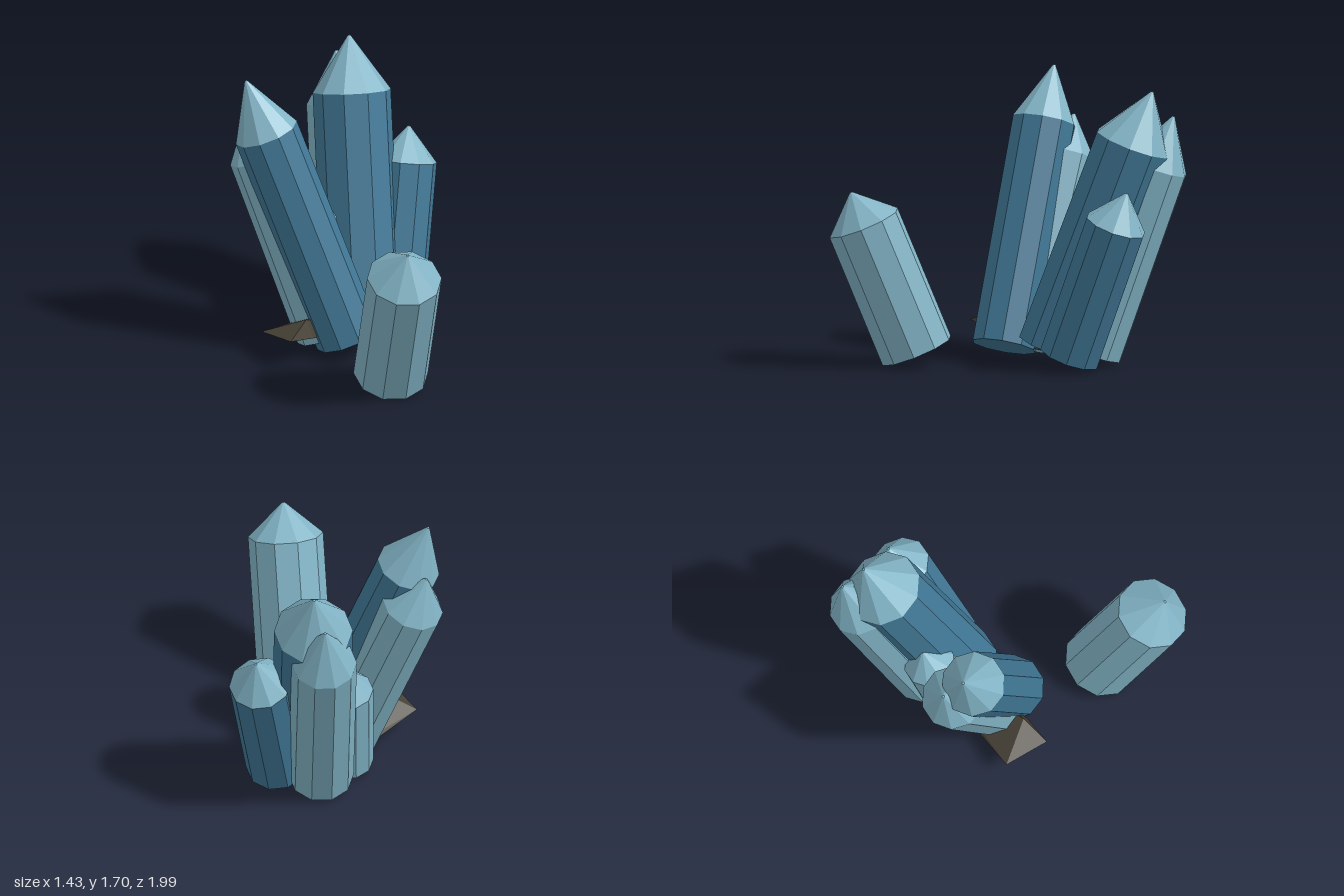
import * as THREE from 'three';
import { ConvexGeometry } from 'three/addons/geometries/ConvexGeometry.js';

const SIDES = 10;

const paleBlue = new THREE.MeshStandardMaterial({ color: 0x82b4c6, flatShading: true });
paleBlue.name = 'pale blue crystal';
const deepBlue = new THREE.MeshStandardMaterial({ color: 0x417896, flatShading: true });
deepBlue.name = 'deep blue crystal';
const rockBrown = new THREE.MeshStandardMaterial({ color: 0x464136, flatShading: true });
rockBrown.name = 'dark brown rock';

// One crystal: a ten-sided prism from base to shoulder, with a pointed cap
function crystal({ name, base, shoulder, radius, tip, material }) {
  const from = new THREE.Vector3(...base);
  const axis = new THREE.Vector3(...shoulder).sub(from);
  const length = axis.length();
  const group = new THREE.Group();
  group.name = name;

  const shaft = new THREE.Mesh(
    new THREE.CylinderGeometry(radius, radius, length, SIDES).translate(0, length / 2, 0),
    material
  );
  shaft.name = 'shaft';

  const point = new THREE.Mesh(
    new THREE.CylinderGeometry(0.008, radius, tip, SIDES).translate(0, length + tip / 2, 0),
    paleBlue
  );
  point.name = 'point';

  group.add(shaft, point);
  group.position.copy(from);
  group.quaternion.setFromUnitVectors(new THREE.Vector3(0, 1, 0), axis.normalize());
  return group;
}

export function createModel() {
  const model = new THREE.Group();
  model.name = 'crystalCluster';

  const crystals = [
    { name: 'frontCrystal', base: [0.365, 0.085, 0.5], shoulder: [0.505, 0.86, 0.785],
      radius: 0.225, tip: 0.2, material: paleBlue },
    { name: 'tallLeaningCrystal', base: [0.02, 0.085, 0.08], shoulder: [-0.485, 1.375, 0.03],
      radius: 0.195, tip: 0.35, material: deepBlue },
    { name: 'sideCrystal', base: [-0.115, 0.08, 0.02], shoulder: [-0.545, 1.175, -0.08],
      radius: 0.19, tip: 0.25, material: paleBlue },
    { name: 'largeBackCrystal', base: [0.04, 0.095, -0.26], shoulder: [-0.11, 1.34, -0.7],
      radius: 0.235, tip: 0.335, material: deepBlue },
    { name: 'smallBackCrystal', base: [0.2, 0.08, -0.42], shoulder: [0.215, 0.895, -0.725],
      radius: 0.187, tip: 0.21, material: deepBlue },
    { name: 'rearCrystal', base: [-0.08, 0.075, -0.44], shoulder: [-0.21, 1.2, -0.81],
      radius: 0.195, tip: 0.315, material: paleBlue },
    { name: 'innerCrystal', base: [-0.18, 0.05, -0.22], shoulder: [-0.22, 0.68, -0.36],
      radius: 0.155, tip: 0.17, material: paleBlue }
  ];
  for (const spec of crystals) model.add(crystal(spec));

  // Jagged rock wedged between the crystal feet
  const rockPoints = [
    [-0.475, 0.155, 0.24], [-0.26, 0.19, 0.415], [-0.2, 0.26, 0.24], [-0.155, 0.145, 0.25],
    [-0.32, 0.11, 0.2], [0, 0.08, -0.1], [-0.08, 0.02, -0.4], [-0.05, 0.08, -0.38]
  ].map((p) => new THREE.Vector3(...p));
  const rock = new THREE.Mesh(new ConvexGeometry(rockPoints), rockBrown);
  rock.name = 'baseRock';
  model.add(rock);

  return model;
}
